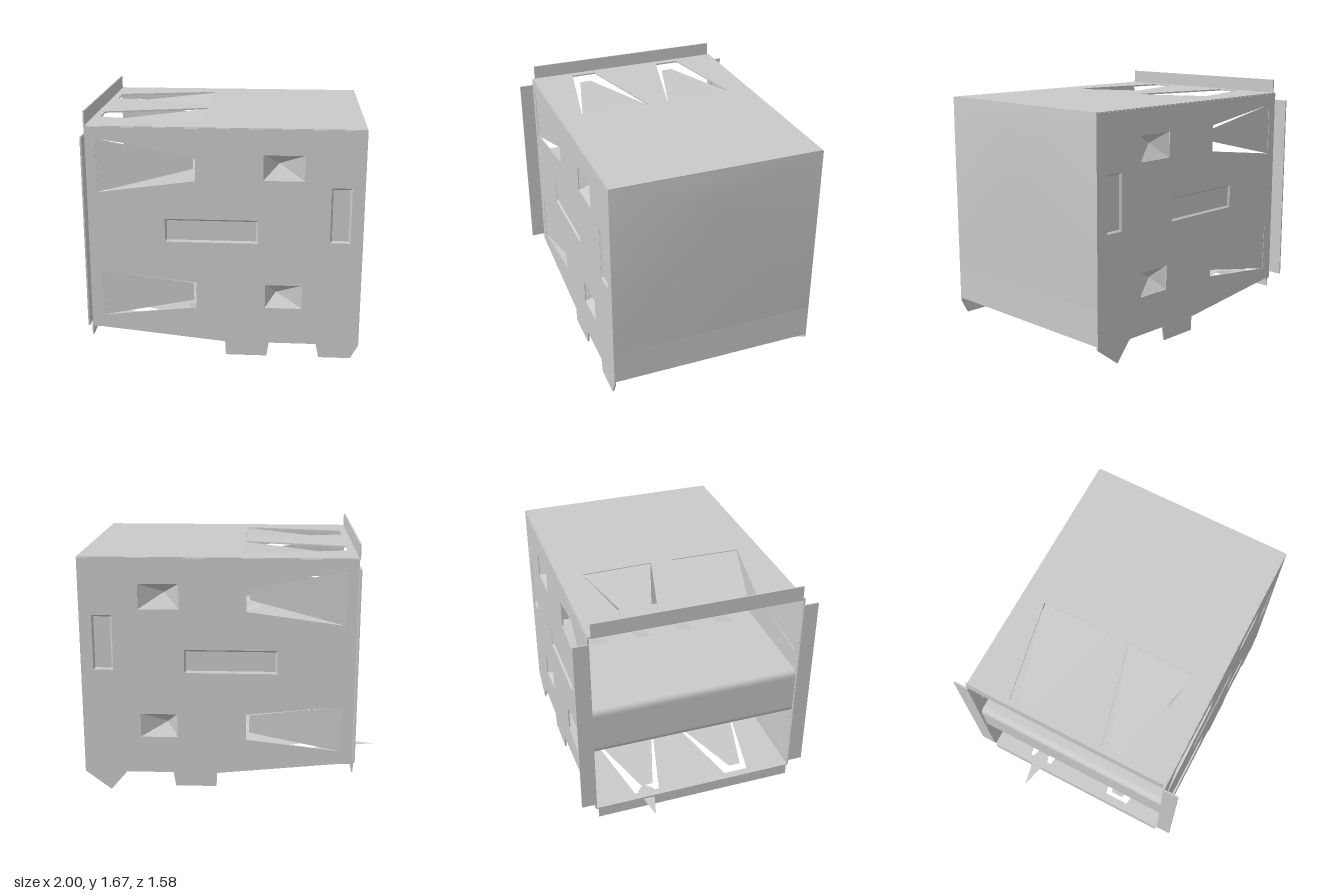
import * as THREE from 'three';
import { mergeVertices } from 'three/addons/utils/BufferGeometryUtils.js';

const steel = new THREE.MeshStandardMaterial({ color: 0xcacaca, side: THREE.DoubleSide });
steel.name = 'sheet steel';
const T = 0.01; // sheet thickness

const toVec = (pts) => pts.map(([a, b]) => new THREE.Vector2(a, b));
const rect = (x0, y0, x1, y1) => [[x0, y0], [x1, y0], [x1, y1], [x0, y1]];

function add(group, name, geometry) {
  const mesh = new THREE.Mesh(geometry, steel);
  mesh.name = name;
  group.add(mesh);
  return mesh;
}

// Flat sheet with cut-outs
function sheet(outline, holes = [], depth = T) {
  const shape = new THREE.Shape(toVec(outline));
  holes.forEach((h) => shape.holes.push(new THREE.Path(toVec(h))));
  return new THREE.ExtrudeGeometry(shape, { depth, bevelEnabled: false });
}

// Flat-shaded triangle fan around a centre point
function fan(centre, ring, closed = true) {
  const pos = [];
  const n = closed ? ring.length : ring.length - 1;
  for (let i = 0; i < n; i++) pos.push(...centre, ...ring[i], ...ring[(i + 1) % ring.length]);
  const g = new THREE.BufferGeometry();
  g.setAttribute('position', new THREE.Float32BufferAttribute(pos, 3));
  g.computeVertexNormals();
  return g;
}

// Four-cornered leaf
const leaf = (a, b, c, d) => fan(a, [b, c, d], false);

// Side wall in the xy plane, its outer face at z = 0.7; rearFoot is the foot next to the end panel
function sideWall(name, rearFoot) {
  const wall = new THREE.Group();
  wall.name = name;
  const outline = [
    [-0.83, 0.22], [0.06, 0.13], [0.065, 0.035], [0.335, 0.035], [0.35, 0.13], [0.66, 0.13],
    ...rearFoot, [0.94, 0.13], [0.94, 1.575], [-0.83, 1.575],
  ];
  const springs = [
    { hole: [[-0.76, 1.15], [-0.13, 1.235], [-0.13, 1.41], [-0.76, 1.5]], tip: [1.3, 1.37] },
    { hole: [[-0.74, 0.3], [-0.13, 0.37], [-0.13, 0.545], [-0.75, 0.61]], tip: [0.4, 0.52] },
  ];
  const dents = [
    { r: [0.3, 1.245, 0.56, 1.41], apex: [0.4, 1.34] },
    { r: [0.32, 0.38, 0.56, 0.54], apex: [0.39, 0.46] },
  ];
  const insets = [[-0.33, 0.825, 0.27, 0.98], [0.73, 0.84, 0.86, 1.205]];
  const holes = [
    ...springs.map((s) => s.hole),
    ...dents.map((d) => rect(...d.r)),
    ...insets.map((r) => rect(...r)),
  ];
  add(wall, 'wallSheet', sheet(outline, holes)).position.z = 0.7 - T;

  // Spring tongues, bent slightly inwards towards the tip
  springs.forEach(({ hole, tip }) => {
    const [a, , , d] = hole;
    add(wall, 'springTongue', leaf(
      [a[0], a[1], 0.697], [-0.15, tip[0], 0.645], [-0.15, tip[1], 0.645], [d[0], d[1], 0.697]));
  });
  // Pyramid dents
  dents.forEach(({ r, apex }) => {
    add(wall, 'pyramidDent', fan([...apex, 0.61], rect(...r).map(([x, y]) => [x, y, 0.694])));
  });
  // Shallow stamped rectangles with sloping rims
  insets.forEach(([x0, y0, x1, y1]) => {
    const m = 0.012;
    const outer = rect(x0, y0, x1, y1).map((p) => [...p, 0.699]);
    const inner = rect(x0 + m, y0 + m, x1 - m, y1 - m).map((p) => [...p, 0.687]);
    add(wall, 'stampFloor', leaf(...inner));
    for (let i = 0; i < 4; i++) {
      const j = (i + 1) % 4;
      add(wall, 'stampRim', leaf(outer[i], outer[j], inner[j], inner[i]));
    }
  });
  // Outward flange beside the opening
  add(wall, 'sideFlange', new THREE.BoxGeometry(T, 1.27, 0.1)).position.set(-0.832, 0.895, 0.742);
  return wall;
}

// Horizontal plate with two spring tongues; bend is the tip's vertical travel
function levelPlate(name, y, xEnd, bend) {
  const plate = new THREE.Group();
  plate.name = name;
  const holes = [-1, 1].map((s) => [[-0.11, s * 0.54], [-0.78, s * 0.41], [-0.78, s * 0.24], [-0.1, s * 0.07]]);
  const g = sheet(rect(-0.83, -0.694, xEnd, 0.694), holes).rotateX(Math.PI / 2);
  add(plate, 'plateSheet', g).position.y = y;
  [-1, 1].forEach((s) => {
    add(plate, 'springTongue', leaf(
      [-0.11, y - 0.005, s * 0.535], [-0.76, y + bend, s * 0.36],
      [-0.76, y + bend, s * 0.28], [-0.1, y - 0.005, s * 0.075]));
  });
  return plate;
}

export function createModel() {
  const cage = new THREE.Group();
  cage.name = 'sheetMetalCage';

  const front = sideWall('frontWall', [[0.68, 0.035], [0.89, 0.035]]);
  const back = sideWall('backWall', [[0.77, 0]]);
  back.scale.z = -1;
  cage.add(front, back);

  cage.add(levelPlate('topPlate', 1.58, 0.94, -0.05));
  cage.add(levelPlate('bottomPlate', 0.22, 0.27, 0.04));

  // Flanges above and below the opening
  add(cage, 'topFlange', new THREE.BoxGeometry(T, 0.1, 1.36)).position.set(-0.832, 1.62, 0);
  add(cage, 'bottomFlange', new THREE.BoxGeometry(T, 0.08, 1.36)).position.set(-0.832, 0.185, 0);

  // Closed end panel, smoothly bulging to a shallow peak
  const bulge = fan([1, 1.36, 0], [
    [0.94, 1.575, 0.7], [0.94, 0.38, 0.7], [0.94, 0.38, -0.7], [0.94, 1.575, -0.7],
  ]);
  bulge.deleteAttribute('normal');
  const smoothBulge = mergeVertices(bulge);
  smoothBulge.computeVertexNormals();
  add(cage, 'endPanel', smoothBulge);
  add(cage, 'endPanelFoot', new THREE.BoxGeometry(T, 0.23, 1.38)).position.set(0.935, 0.265, 0);

  // Folded divider channel between the two bays, rounded at the opening
  const r = 0.05;
  const fold = new THREE.Shape();
  fold.moveTo(0.27, 0.68);
  fold.lineTo(-0.82 + r, 0.68);
  fold.quadraticCurveTo(-0.82, 0.68, -0.82, 0.68 + r);
  fold.lineTo(-0.82, 1.02 - r);
  fold.quadraticCurveTo(-0.82, 1.02, -0.82 + r, 1.02);
  fold.lineTo(0.27, 1.02);
  fold.lineTo(0.27, 1.02 - T);
  fold.lineTo(-0.81 + r, 1.02 - T);
  fold.quadraticCurveTo(-0.81, 1.02 - T, -0.81, 1.02 - r);
  fold.lineTo(-0.81, 0.68 + r);
  fold.quadraticCurveTo(-0.81, 0.68 + T, -0.81 + r, 0.68 + T);
  fold.lineTo(0.27, 0.68 + T);
  const divider = new THREE.ExtrudeGeometry(fold, { depth: 1.38, bevelEnabled: false, curveSegments: 8 });
  add(cage, 'divider', divider).position.z = -0.69;

  // Small raised fingers across the floor of each bay
  [1.035, 0.235].forEach((y) => {
    for (let i = 0; i < 4; i++) {
      const z = -0.45 + i * 0.3;
      add(cage, 'floorFinger', leaf(
        [-0.05, y - 0.01, z - 0.05], [-0.2, y + 0.04, z - 0.05],
        [-0.2, y + 0.04, z + 0.05], [-0.05, y - 0.01, z + 0.05]));
    }
  });

  // Pointed tip reaching out of the opening
  add(cage, 'groundingTip', leaf(
    [-1, 0.212, -0.335], [-0.76, 0.212, -0.27], [-0.7, 0.212, -0.33], [-0.76, 0.212, -0.385]));

  return cage;
}
